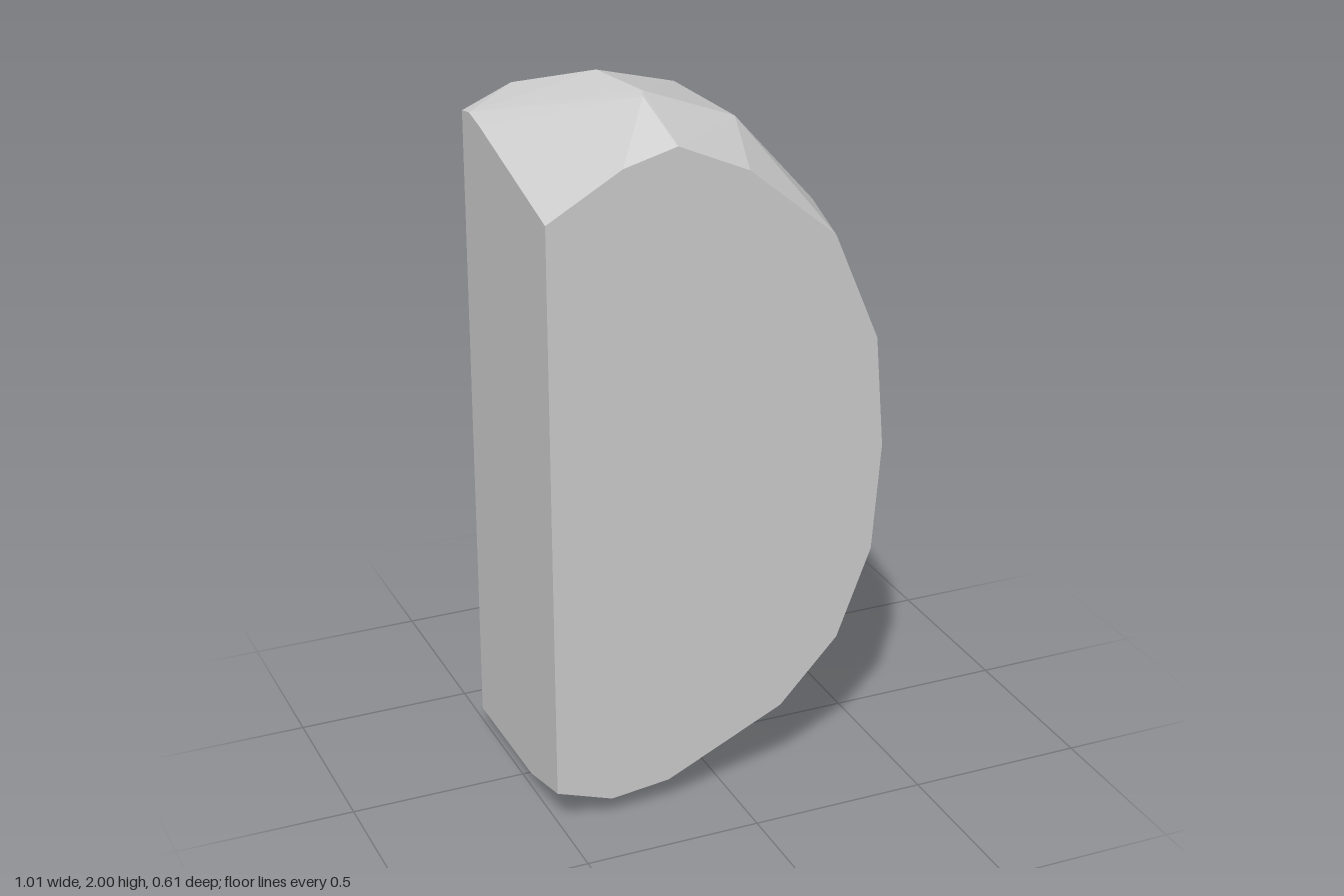
import * as THREE from 'three';
import { ConvexGeometry } from 'three/addons/geometries/ConvexGeometry.js';

// Outlines [x, y] of the half-round block, from the top of the flat side round to its foot
const FRONT = [
  [-0.51, 1.75], [-0.3, 1.87], [-0.15, 1.91], [0.05, 1.82], [0.3, 1.61], [0.43, 1.3], [0.455, 0.98],
  [0.43, 0.67], [0.33, 0.415], [0.16, 0.235], [-0.18, 0.075], [-0.35, 0.055], [-0.51, 0.11],
];
const RIDGE = [
  [-0.16, 2], [0.1, 1.9], [0.33, 1.64], [0.46, 1.32], [0.505, 0.98], [0.465, 0.66],
  [0.36, 0.4], [0.18, 0.215], [0, 0.12], [-0.17, 0.03], [-0.36, 0], [-0.51, 0.06],
];
const BACK = [
  [-0.51, 1.875], [-0.37, 1.935], [0, 1.88], [0.265, 1.665], [0.417, 1.33], [0.467, 0.98],
  [0.417, 0.645], [0.3, 0.387], [0.106, 0.222], [-0.075, 0.138], [-0.51, 0.056],
];
// Extra corners of the chipped crown
const CROWN = [
  [-0.51, 1.885, -0.25], [-0.51, 1.87, -0.17], [-0.2, 2, -0.12], [-0.17, 1.993, 0.125], [0.065, 1.91, -0.22],
];

export function createModel() {
  const group = new THREE.Group();
  group.name = 'halfRoundStone';

  const atDepth = (outline, z) => outline.map(([x, y]) => new THREE.Vector3(x, y, z));
  const points = [
    ...atDepth(FRONT, 0.305),
    ...atDepth(RIDGE, 0.1),
    ...atDepth(BACK, -0.305),
    ...CROWN.map((p) => new THREE.Vector3(...p)),
  ];

  // Faceted solid wrapped around the three outlines
  const stone = new THREE.Mesh(
    new ConvexGeometry(points),
    new THREE.MeshStandardMaterial({ color: 0xcccccc, flatShading: true }),
  );
  stone.name = 'stone';
  group.add(stone);
  return group;
}
